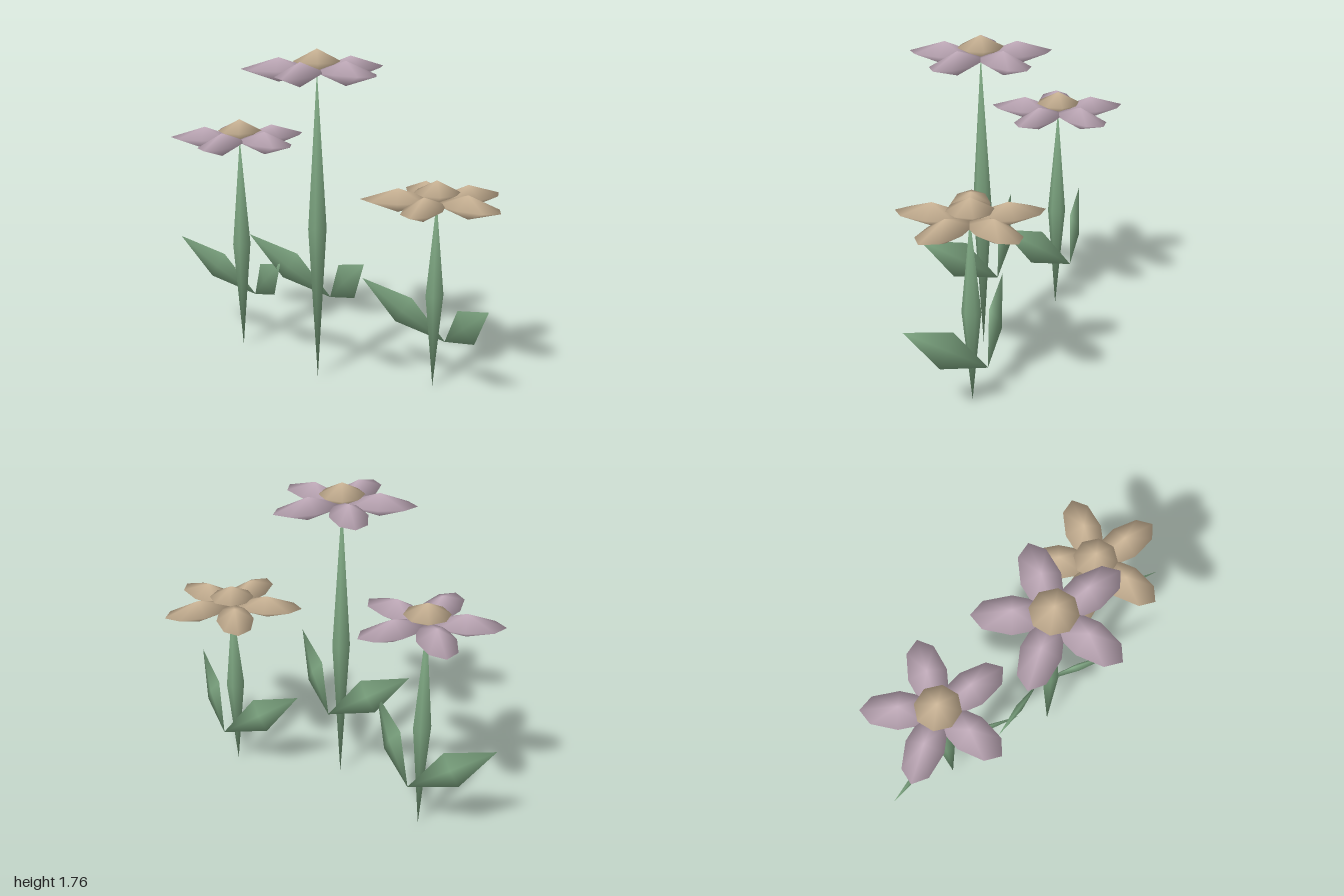
import * as THREE from 'three';

const mat = (name, color) => {
  const m = new THREE.MeshStandardMaterial({ color });
  m.name = name;
  return m;
};

// Smooth double cone: an n-sided equator with a point above and below
const spindle = (sides, rx, ry, rz) => new THREE.SphereGeometry(1, sides, 2).scale(rx, ry, rz);

// Diamond leaf leaning outward (side = +1 or -1) and forward
function leafGeometry(side) {
  const along = new THREE.Vector3(0.205 * side, 0.157, 0.1);
  const across = new THREE.Vector3(-0.055 * side, 0.0775, 0);
  const normal = across.clone().cross(along).setLength(0.02);
  const m = new THREE.Matrix4().makeBasis(along, normal, across);
  m.setPosition(0.203 * side, 0.157, 0);
  return new THREE.SphereGeometry(1, 4, 2).applyMatrix4(m);
}

export function createModel() {
  const green = mat('leafGreen', 0x7ba37f);
  const mauve = mat('petalMauve', 0xc4aebd);
  const tan = mat('tan', 0xcfb899);

  const model = new THREE.Group();
  model.name = 'flowers';

  const petalGeo = spindle(8, 0.195, 0.062, 0.1).translate(0.195, 0, 0);
  const centreGeo = spindle(8, 0.12, 0.063, 0.12);
  const leafGeos = [leafGeometry(-1), leafGeometry(1)];

  const add = (parent, name, geo, material, y = 0) => {
    const mesh = new THREE.Mesh(geo, material);
    mesh.name = name;
    mesh.position.y = y;
    parent.add(mesh);
    return mesh;
  };

  const flowers = [
    { name: 'leftmostFlower', x: -0.59, z: 0.1, bloomY: 1.21, leafY: 0.28, petals: mauve },
    { name: 'tallFlower', x: 0.055, z: 0.16, bloomY: 1.65, leafY: 0.425, petals: mauve },
    { name: 'shortFlower', x: 0.583, z: -0.16, bloomY: 1.003, leafY: 0.217, petals: tan },
  ];

  for (const f of flowers) {
    const flower = new THREE.Group();
    flower.name = f.name;
    flower.position.set(f.x, 0, f.z);
    model.add(flower);

    // Six-sided stem, widest halfway up
    add(flower, 'stem', spindle(6, 0.05, f.bloomY / 2, 0.05), green, f.bloomY / 2);

    // Pair of leaves
    for (const geo of leafGeos) add(flower, 'leaf', geo, green, f.leafY);

    // Five petals around a domed centre
    for (let i = 0; i < 5; i++) {
      add(flower, 'petal', petalGeo, f.petals, f.bloomY).rotation.y = (i * Math.PI * 2) / 5;
    }
    add(flower, 'flowerCentre', centreGeo, tan, f.bloomY + 0.045);
  }

  return model;
}
